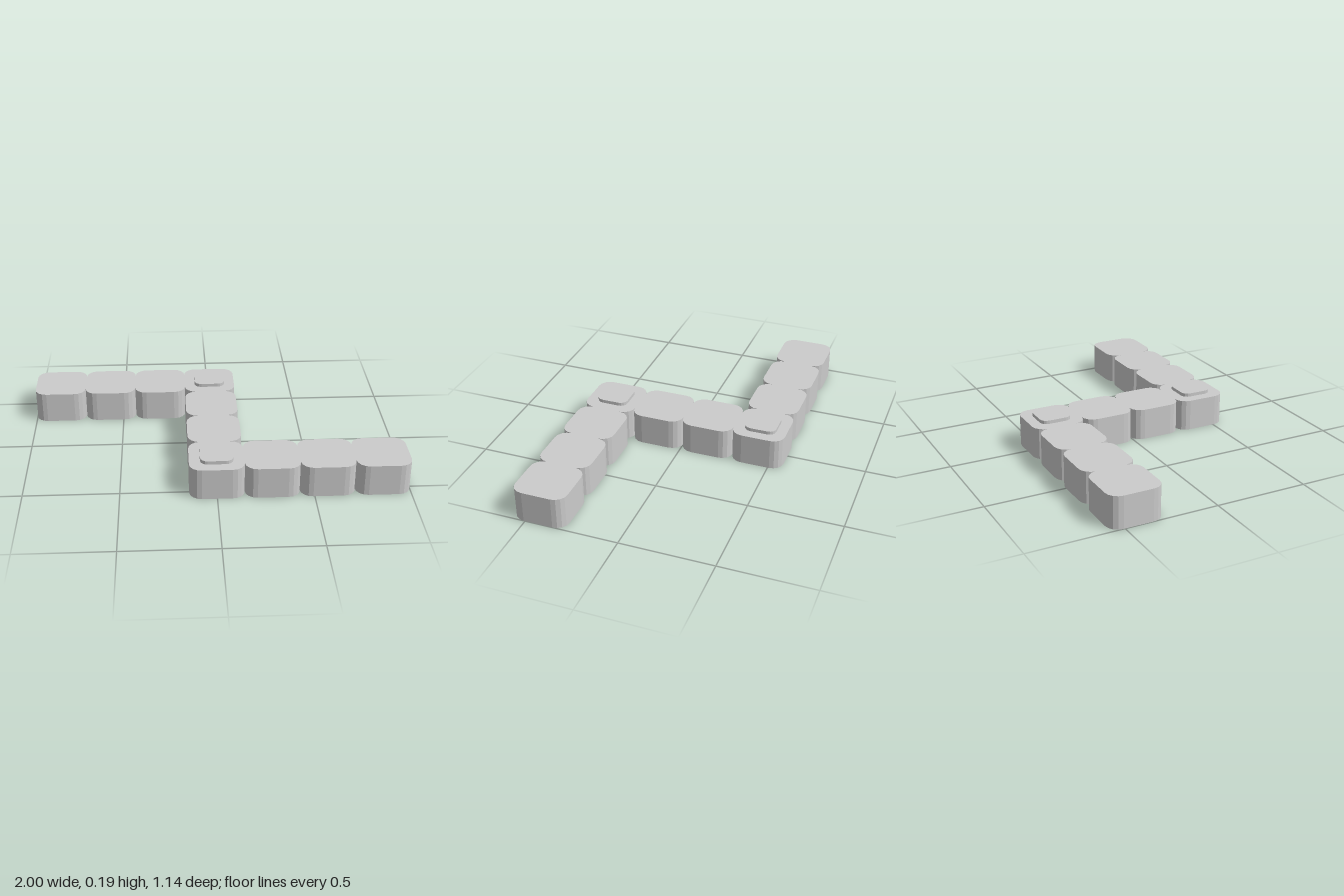
import * as THREE from 'three';

const CELL = 2 / 7;          // block pitch: seven blocks span the full width
const HEIGHT = 0.171;
const PAD_HEIGHT = 0.0186;

// Square block with corners rounded in two facets, standing on y = 0
function blockGeometry(width, radius, height) {
  const a = width / 2 - radius;
  const shape = new THREE.Shape();
  [[a, a], [-a, a], [-a, -a], [a, -a]].forEach(([x, y], i) => {
    shape.absarc(x, y, radius, i * Math.PI / 2, (i + 1) * Math.PI / 2, false);
  });
  const geometry = new THREE.ExtrudeGeometry(shape, { depth: height, bevelEnabled: false, curveSegments: 2 });
  return geometry.rotateX(-Math.PI / 2);
}

export function createModel() {
  const model = new THREE.Group();
  model.name = 'zigzagBlocks';
  const material = new THREE.MeshStandardMaterial({ color: 0xcccccc, flatShading: true });
  const block = blockGeometry(CELL, 0.064, HEIGHT);
  const pad = blockGeometry(CELL * 0.6, 0.0384, PAD_HEIGHT);

  const add = (geometry, name, x, y, z) => {
    const mesh = new THREE.Mesh(geometry, material);
    mesh.name = name;
    mesh.position.set(x, y, z);
    model.add(mesh);
  };

  // Each half is the other turned half a circle about the y axis
  for (const s of [1, -1]) {
    const side = s > 0 ? 'front' : 'back';
    const z = s * 1.5 * CELL;
    add(block, side + 'CornerBlock', 0, 0, z);
    add(pad, side + 'CornerPad', 0, HEIGHT, z);
    for (let i = 1; i <= 3; i++) add(block, side + 'ArmBlock' + i, s * i * CELL, 0, z);
    add(block, side + 'LinkBlock', 0, 0, s * 0.5 * CELL);
  }
  return model;
}
